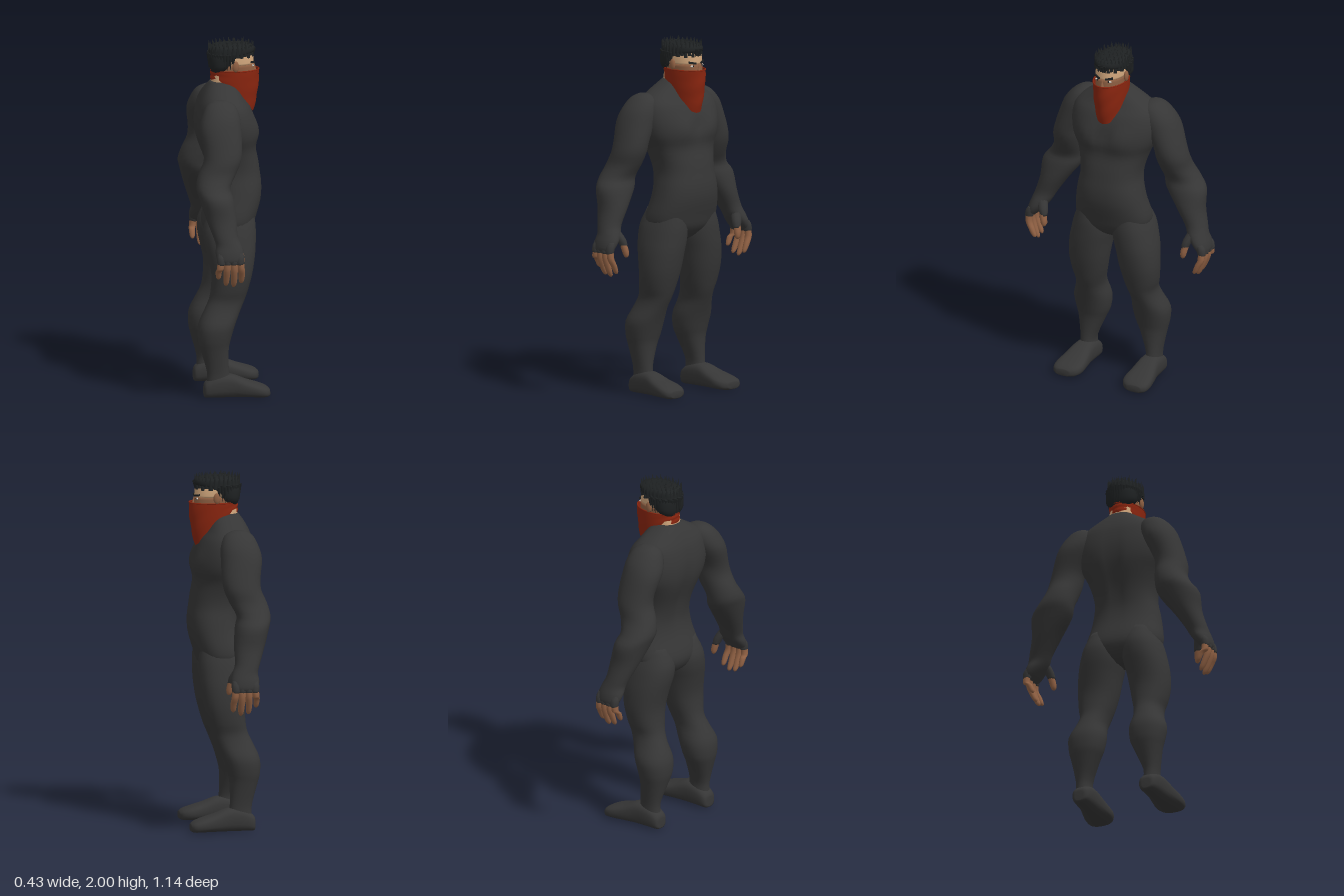
import * as THREE from 'three';
import { mergeGeometries } from 'three/addons/utils/BufferGeometryUtils.js';

const mat = (name, color) => {
  const m = new THREE.MeshStandardMaterial({ color });
  m.name = name;
  return m;
};

// Smooth value through four numbers (Catmull-Rom)
const spline = (a, b, c, d, t) =>
  b + 0.5 * t * (c - a + t * (2 * a - 5 * b + 4 * c - d + t * (3 * (b - c) + d - a)));

// Skin over horizontal ovals, rows of [y, x0, x1, z0, z1] from low to high
function loft(rows, { side = 1, seg = 24, steps = 3, power = 0.9, rule = null } = {}) {
  const rings = [];
  const at = (i) => rows[Math.min(Math.max(i, 0), rows.length - 1)];
  for (let i = 0; i < rows.length - 1; i++)
    for (let s = 0; s < steps; s++)
      rings.push(rows[i].map((_, k) => spline(at(i - 1)[k], at(i)[k], at(i + 1)[k], at(i + 2)[k], s / steps)));
  rings.push(rows[rows.length - 1]);
  const pos = [], idx = [];
  const bend = (v) => Math.sign(v) * Math.abs(v) ** power;
  for (const [y, x0, x1, z0, z1] of rings)
    for (let j = 0; j < seg; j++) {
      const a = (j / seg) * Math.PI * 2;
      const p = [side * (x0 + x1) / 2 + bend(Math.cos(a)) * (x1 - x0) / 2, y,
        (z0 + z1) / 2 + bend(Math.sin(a)) * (z1 - z0) / 2];
      if (rule) rule(p);
      pos.push(...p);
    }
  const n = rings.length, low = n * seg, high = low + 1;
  for (const r of [rings[0], rings[n - 1]]) pos.push(side * (r[1] + r[2]) / 2, r[0], (r[3] + r[4]) / 2);
  for (let j = 0; j < seg; j++) {
    const k = (j + 1) % seg;
    for (let i = 0; i < n - 1; i++) {
      const a = i * seg + j, b = a + seg, c = i * seg + k, d = c + seg;
      idx.push(a, b, c, c, b, d);
    }
    idx.push(low, j, k, high, (n - 1) * seg + k, (n - 1) * seg + j);
  }
  const g = new THREE.BufferGeometry();
  g.setAttribute('position', new THREE.Float32BufferAttribute(pos, 3));
  g.setIndex(idx);
  g.computeVertexNormals();
  return g;
}

// Round limb through points [y, x, z, radius], low to high
const limb = (pts, side) =>
  loft(pts.map(([y, x, z, r]) => [y, x - r, x + r, z - r, z + r]), { side, seg: 10, power: 1 });

export function createModel() {
  const suit = mat('charcoal suit', 0x363636);
  const skin = mat('brown skin', 0x8f6043);
  const lightSkin = mat('light skin', 0xd0a67c);
  const hair = mat('black hair', 0x1e2122);
  const red = mat('red cloth', 0x8a250f);
  red.side = THREE.DoubleSide;
  const white = mat('eye white', 0xd8d4cc);

  const body = new THREE.Group();
  body.name = 'figure';
  const add = (name, geometry, material, parent = body) => {
    const m = new THREE.Mesh(geometry, material);
    m.name = name;
    parent.add(m);
    return m;
  };
  const bump = (x, y, cx, cy, r) => Math.exp(-((x - cx) ** 2 + (y - cy) ** 2) / (r * r));

  // Torso: half width, back and front at each height, with chest and spine relief
  const torso = [
    [0.86, 0.05, -0.05, 0.05], [0.89, 0.11, -0.1, 0.1], [0.94, 0.2, -0.13, 0.145],
    [1.0, 0.223, -0.13, 0.165], [1.1, 0.205, -0.1, 0.193], [1.18, 0.19, -0.09, 0.198],
    [1.25, 0.178, -0.1, 0.19], [1.32, 0.185, -0.12, 0.18], [1.4, 0.21, -0.15, 0.163],
    [1.47, 0.245, -0.168, 0.165], [1.55, 0.26, -0.172, 0.155], [1.63, 0.25, -0.16, 0.13],
    [1.68, 0.215, -0.142, 0.095], [1.73, 0.135, -0.115, 0.07], [1.77, 0.07, -0.085, 0.05],
  ].map(([y, w, b, f]) => [y, -w, w, b, f]);
  add('torso', loft(torso, {
    seg: 40, power: 0.85,
    rule: (p) => {
      const [x, y, z] = p, ax = Math.abs(x);
      if (z > 0.03) p[2] += 0.02 * bump(ax, y, 0.1, 1.5, 0.08) - 0.012 * bump(ax, y, 0, 1.52, 0.04);
      if (z < -0.05) p[2] += 0.02 * Math.exp(-((ax / 0.035) ** 2)) * Math.exp(-(((y - 1.38) / 0.2) ** 2));
    },
  }), suit);

  for (const side of [1, -1]) {
    const label = side > 0 ? 'left' : 'right';
    const part = (name, g, m) => add(label + name, g, m);

    // Arm from gloved knuckles up to the shoulder
    part('Arm', loft([
      [0.84, 0.525, 0.56, -0.1, 0.0], [0.86, 0.5, 0.57, -0.122, 0.022], [0.9, 0.465, 0.564, -0.13, 0.028],
      [0.94, 0.437, 0.55, -0.125, 0.018], [0.99, 0.41, 0.535, -0.14, 0.0], [1.08, 0.35, 0.512, -0.172, 0.0],
      [1.18, 0.275, 0.508, -0.202, -0.012], [1.24, 0.257, 0.465, -0.216, -0.025],
      [1.31, 0.246, 0.425, -0.2, 0.01], [1.38, 0.235, 0.415, -0.17, 0.04], [1.45, 0.222, 0.397, -0.168, 0.05],
      [1.55, 0.17, 0.367, -0.182, 0.05], [1.62, 0.14, 0.335, -0.165, 0.045],
      [1.675, 0.15, 0.285, -0.135, 0.02], [1.7, 0.19, 0.24, -0.09, -0.03],
    ], { side, power: 0.95 }), suit);
    part('GloveThumb', limb([[0.87, 0.447, 0.018, 0.021], [0.91, 0.458, 0.005, 0.028], [0.97, 0.485, -0.03, 0.03]], side), suit);

    // Bare thumb and fingers
    part('Thumb', limb([[0.808, 0.44, 0.03, 0.006], [0.82, 0.441, 0.029, 0.015],
      [0.85, 0.445, 0.025, 0.02], [0.9, 0.455, 0.012, 0.02]], side), skin);
    [0.745, 0.708, 0.7, 0.72].forEach((tip, i) => {
      const z = -0.101 + i * 0.035, out = -0.012 + i * 0.008;
      part('Finger' + (i + 1), limb([[tip, 0.505, z + out, 0.005], [tip + 0.013, 0.51, z + out, 0.014],
        [tip + 0.05, 0.526, z + out, 0.018], [0.815, 0.546, z + out * 0.5, 0.02], [0.88, 0.54, z, 0.02]], side), skin);
      part('GloveKnuckle' + (i + 1), limb([[0.835, 0.546, z, 0.016], [0.842, 0.546, z, 0.0235],
        [0.875, 0.54, z, 0.026], [0.9, 0.53, z, 0.02]], side), suit);
    });

    // Leg from ankle to hip, with knee and calf
    part('Leg', loft([
      [0.03, 0.16, 0.25, -0.135, 0.01], [0.08, 0.16, 0.25, -0.135, 0.0], [0.15, 0.163, 0.25, -0.135, -0.01],
      [0.27, 0.115, 0.27, -0.168, -0.01], [0.33, 0.09, 0.284, -0.182, 0.002], [0.41, 0.08, 0.29, -0.18, 0.026],
      [0.49, 0.092, 0.258, -0.145, 0.058], [0.55, 0.083, 0.246, -0.117, 0.084], [0.61, 0.066, 0.26, -0.105, 0.104],
      [0.7, 0.046, 0.27, -0.102, 0.128], [0.8, 0.028, 0.265, -0.122, 0.145], [0.88, 0.01, 0.25, -0.14, 0.152],
      [0.96, 0.01, 0.228, -0.14, 0.153], [1.05, 0.04, 0.19, -0.1, 0.14],
    ], { side }), suit);

    // Foot, skinned from heel to toe
    part('Foot', loft([
      [-0.152, 0.18, 0.23, -0.065, -0.01], [-0.14, 0.158, 0.25, -0.09, 0], [-0.08, 0.15, 0.262, -0.125, 0],
      [0.0, 0.146, 0.27, -0.13, 0], [0.08, 0.136, 0.288, -0.1, 0], [0.15, 0.13, 0.3, -0.077, 0],
      [0.195, 0.15, 0.292, -0.06, 0], [0.215, 0.185, 0.265, -0.045, -0.008],
    ], { side, power: 0.75 }).rotateX(Math.PI / 2), suit);

    // Ear, eye and brow
    const ear = add(label + 'Ear', new THREE.SphereGeometry(1, 10, 8), skin);
    ear.scale.set(0.012, 0.032, 0.02);
    ear.position.set(side * 0.09, 1.862, 0.045);
    const eye = add(label + 'Eye', new THREE.SphereGeometry(1, 12, 8), white);
    eye.scale.set(0.016, 0.006, 0.006);
    eye.position.set(side * 0.036, 1.857, 0.149);
    const iris = add(label + 'Iris', new THREE.SphereGeometry(0.0055, 8, 6), hair);
    iris.position.set(side * 0.035, 1.857, 0.152);
    const brow = add(label + 'Brow', new THREE.BoxGeometry(0.044, 0.011, 0.012), hair);
    brow.position.set(side * 0.037, 1.875, 0.149);
    brow.rotation.set(0, side * 0.45, side * 0.18);
  }

  // Neck and head
  add('neck', loft([[1.68, -0.07, 0.07, -0.09, 0.06], [1.75, -0.073, 0.073, -0.085, 0.06],
    [1.84, -0.07, 0.07, -0.075, 0.07]]), lightSkin);
  add('lowerFace', loft([[1.7, -0.035, 0.035, 0.05, 0.12], [1.73, -0.055, 0.055, 0.0, 0.155],
    [1.8, -0.076, 0.076, -0.06, 0.163], [1.868, -0.083, 0.083, -0.075, 0.16]]), skin);
  add('forehead', loft([[1.866, -0.083, 0.083, -0.075, 0.16], [1.9, -0.083, 0.083, -0.08, 0.158],
    [1.94, -0.076, 0.076, -0.075, 0.15], [1.965, -0.05, 0.05, -0.05, 0.11]]), lightSkin);
  const nose = add('nose', new THREE.ConeGeometry(0.016, 0.06, 8), skin);
  nose.position.set(0, 1.835, 0.163);

  // Hair: a cap with a raised front, then upright tufts around and over it
  add('hairCap', loft([[1.82, -0.055, 0.055, -0.08, 0.0], [1.85, -0.086, 0.086, -0.092, 0.03],
    [1.895, -0.092, 0.092, -0.098, 0.07], [1.92, -0.093, 0.093, -0.098, 0.12], [1.935, -0.092, 0.092, -0.097, 0.16],
    [1.965, -0.085, 0.085, -0.09, 0.157], [1.98, -0.05, 0.05, -0.05, 0.11]]), hair);
  const tufts = [];
  const tuft = (x, y, z, h, r, tiltX, tiltZ) => tufts.push(
    new THREE.ConeGeometry(r, h, 5).rotateX(tiltX).rotateZ(tiltZ).translate(x, y, z));
  for (const [count, rx, rz, y, h, lean] of [
    [30, 0.09, 0.122, 1.952, 0.08, 0.14], [22, 0.07, 0.098, 1.963, 0.068, 0.15],
    [14, 0.045, 0.065, 1.967, 0.06, 0.1], [7, 0.02, 0.03, 1.97, 0.05, 0.05]])
    for (let i = 0; i < count; i++) {
      const a = (i / count) * Math.PI * 2, c = Math.cos(a), s = Math.sin(a);
      tuft(c * rx, y + 0.006 * Math.sin(i * 2.7), 0.03 + s * rz, h, 0.015, s * lean, -c * lean);
    }
  // Strands down the sides and nape
  for (let i = 0; i <= 22; i++) {
    const a = Math.PI * (0.95 + (i / 22) * 1.1), c = Math.cos(a), s = Math.sin(a);
    tuft(c * 0.09, 1.885 + 0.006 * Math.sin(i * 3.1), 0.015 + s * 0.108, 0.09, 0.014, Math.PI, 0);
  }
  // Widow's peak
  for (const x of [-0.016, 0, 0.016])
    tuft(x, 1.921 + Math.abs(x) * 0.5, 0.155, 0.045, 0.015, Math.PI, 0);
  add('hairTufts', mergeGeometries(tufts), hair);

  // Bandana: an open wrap whose lower edge falls to a point at the front
  const around = 48, down = 8;
  const cloth = new THREE.PlaneGeometry(1, 1, around, down);
  const p = cloth.attributes.position;
  for (let i = 0; i < p.count; i++) {
    const a = (p.getX(i) + 0.5) * Math.PI * 2, t = 0.5 - p.getY(i);
    const front = (1 - Math.cos(a)) / 2;
    const z = -0.085 + 0.275 * front;
    const low = 1.775 - 0.185 * front ** 1.1;
    const pinch = 1 - 0.1 * t * t;
    p.setXYZ(i, -Math.sin(a) * 0.092 * pinch, THREE.MathUtils.lerp(1.835, low, t),
      z - 0.033 * t * t * front + 0.002 * Math.sin(t * 14 + a * 3));
  }
  cloth.computeVertexNormals();
  add('bandana', cloth, red);
  const hem = new THREE.CatmullRomCurve3(Array.from({ length: 24 }, (_, i) => {
    const a = (i / 24) * Math.PI * 2;
    return new THREE.Vector3(Math.sin(a) * 0.091, 1.832, 0.052 - Math.cos(a) * 0.136);
  }), true);
  add('bandanaRim', new THREE.TubeGeometry(hem, 48, 0.004, 6, true), red);

  // The figure looks along +x
  body.rotation.y = Math.PI / 2;
  const model = new THREE.Group();
  model.name = 'maskedFighter';
  model.add(body);
  return model;
}
